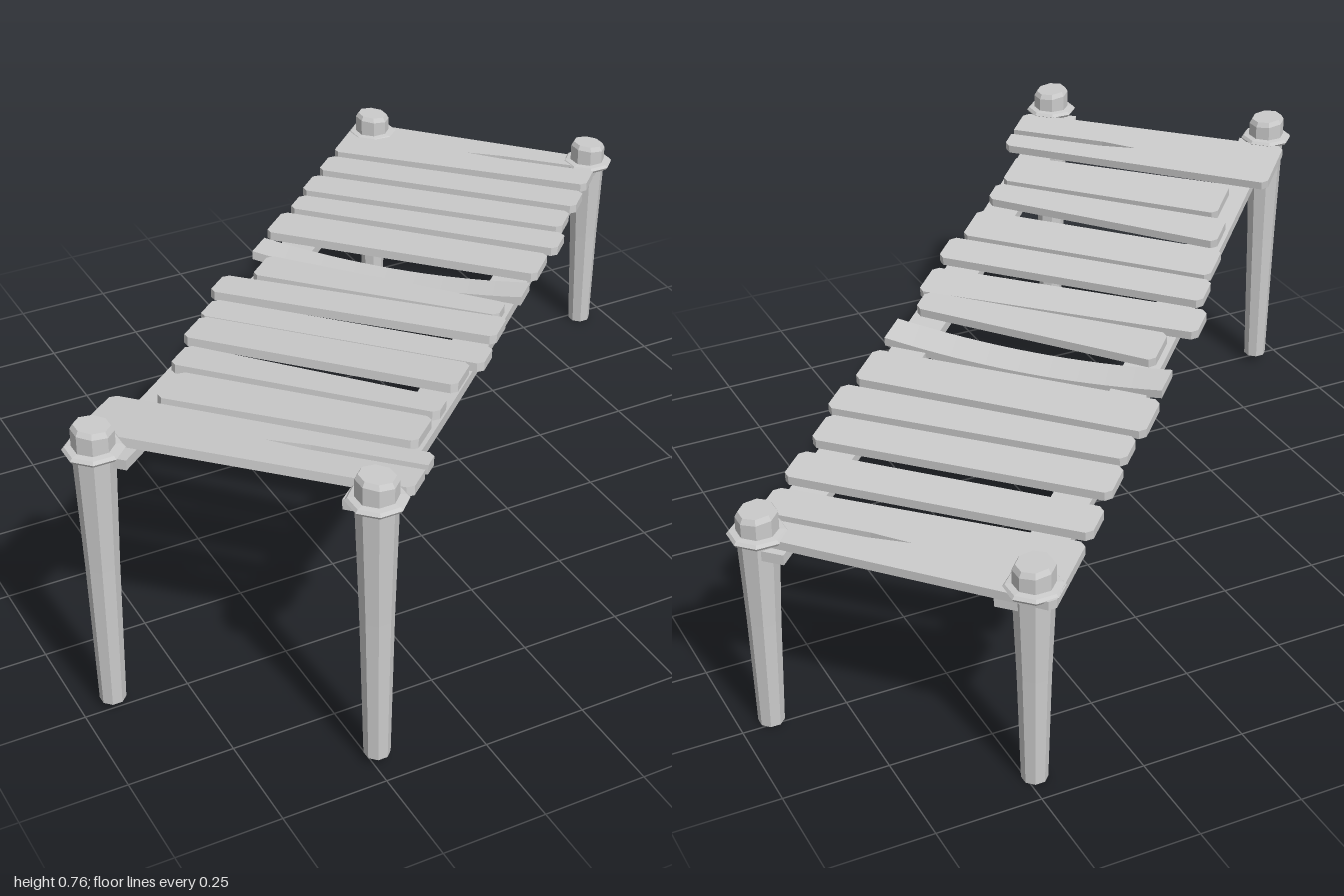
import * as THREE from 'three';

const flat = new THREE.MeshStandardMaterial({ color: 0xcccccc, flatShading: true });
const smooth = new THREE.MeshStandardMaterial({ color: 0xcccccc });

// Sagging underside of the rails; u runs along the bridge, v across it.
const railY = (u) => 0.53 - 0.098 * u + 0.028 * u * u;
const slope = (u) => -0.098 + 0.056 * u;
const RAIL = 0.025, PLANK = 0.022;

function add(parent, name, geometry, material = flat) {
  const mesh = new THREE.Mesh(geometry, material);
  mesh.name = name;
  parent.add(mesh);
  return mesh;
}

// Tapered eight-sided post with a collar and a slightly slanted, bevelled top.
function addPost(parent, name, u, v, base, collar) {
  const post = new THREE.Group();
  post.name = name;
  post.position.set(u, 0, v);
  parent.add(post);
  const lathe = (pts) => new THREE.LatheGeometry(pts.map(([r, y]) => new THREE.Vector2(r, y)), 8, Math.PI / 8);
  const top = collar + 0.055;
  const body = lathe([[0, base], [0.03, base], [0.038, base + (collar - base) * 0.55],
    [0.047, collar - 0.02], [0.047, top - 0.012], [0.04, top], [0, top]]);
  const p = body.attributes.position;
  for (let i = 0; i < p.count; i++) {
    if (p.getY(i) > collar) p.setY(i, p.getY(i) - (p.getX(i) + p.getZ(i)) * 0.08);
  }
  add(post, 'postBody', body);
  add(post, 'postCollar', lathe([[0.044, collar - 0.011], [0.063, collar - 0.011],
    [0.068, collar - 0.004], [0.062, collar + 0.003], [0.044, collar + 0.005]]));
}

// Curved rail: rectangular section bent along the sag.
function addRail(parent, name, v) {
  const geo = new THREE.BoxGeometry(2.03, RAIL, 0.09, 12, 1, 1);
  geo.translate(0.015, RAIL / 2, v);
  const p = geo.attributes.position;
  for (let i = 0; i < p.count; i++) p.setY(i, p.getY(i) + railY(p.getX(i)));
  geo.computeVertexNormals();
  add(parent, name, geo);
}

// Plank outline: a = near edge, b = far edge, at the -v and +v ends.
// The optional crack [u, start v, half width] opens at the +v end.
function addPlank(parent, name, [a0, b0, a1, b1, v0, v1], crack, lift = 0) {
  const mid = (a0 + b0 + a1 + b1) / 4, c = 0.014;
  const pts = [[a0 + c, v0], [b0 - c, v0], [b0, v0 + c], [b1, v1 - c], [b1 - c, v1]];
  if (crack) {
    const [cu, cv, w] = crack;
    pts.push([cu + w, v1], [cu + w, cv + 0.1], [cu, cv], [cu - w, cv + 0.1], [cu - w, v1]);
  }
  pts.push([a1 + c, v1], [a1, v1 - c], [a0, v0 + c]);
  const shape = new THREE.Shape(pts.map(([u, v]) => new THREE.Vector2(u - mid, -v)));
  const geo = new THREE.ExtrudeGeometry(shape, { depth: PLANK, bevelEnabled: false });
  geo.rotateX(-Math.PI / 2);
  const mesh = add(parent, name, geo);
  mesh.position.set(mid, railY(mid) + RAIL + lift, 0);
  mesh.rotation.z = Math.atan(slope(mid));
}

// One plank that bows down between the rails.
function addBowedPlank(parent, name, u, width, v0, v1) {
  const geo = new THREE.BoxGeometry(width, PLANK, v1 - v0, 1, 1, 16);
  const p = geo.attributes.position, half = (v1 - v0) / 2;
  for (let i = 0; i < p.count; i++) {
    const t = p.getZ(i) / half;
    p.setX(i, p.getX(i) - t * 0.015);
    p.setY(i, p.getY(i) - 0.025 * (1 - t * t));
  }
  geo.computeVertexNormals();
  const mesh = add(parent, name, geo, smooth);
  mesh.position.set(u, railY(u) + RAIL + PLANK / 2, (v0 + v1) / 2);
  mesh.rotation.z = Math.atan(slope(u));
}

export function createModel() {
  const model = new THREE.Group();
  model.name = 'plankBridge';
  const bridge = new THREE.Group();
  bridge.name = 'bridge';
  bridge.rotation.y = Math.PI / 4; // runs diagonally
  model.add(bridge);

  // Posts: tall pair at one end, short pair at the other
  for (const s of [-1, 1]) {
    const side = s < 0 ? 'Back' : 'Front';
    addPost(bridge, 'tallPost' + side, -0.997, s * 0.312, 0.02, 0.7);
    addPost(bridge, 'shortPost' + side, 0.993, s * 0.314, 0, 0.508);
    addRail(bridge, 'rail' + side, s * 0.283);
  }

  // Planks: uneven widths, lengths and skew
  addPlank(bridge, 'crackedPlankHigh', [-0.947, -0.757, -0.945, -0.77, -0.375, 0.372], [-0.842, 0.014, 0.011], 0.002);
  addPlank(bridge, 'crackedPlankLow', [0.82, 1.04, 0.827, 1.01, -0.375, 0.346], [0.933, -0.02, 0.009]);
  const planks = [
    [-0.73, -0.585, -0.73, -0.6, -0.283, 0.318],
    [-0.56, -0.45, -0.58, -0.5, -0.318, 0.324],
    [-0.415, -0.29, -0.436, -0.31, -0.344, 0.326],
    [-0.28, -0.18, -0.3, -0.2, -0.354, 0.352],
    [-0.144, -0.04, -0.15, -0.035, -0.38, 0.343],
    [-0.018, 0.105, -0.034, 0.045, -0.315, 0.32],
    [0.252, 0.387, 0.237, 0.368, -0.375, 0.35],
    [0.413, 0.505, 0.4, 0.503, -0.365, 0.364],
    [0.533, 0.641, 0.53, 0.637, -0.372, 0.346],
    [0.686, 0.788, 0.679, 0.783, -0.375, 0.35],
  ];
  planks.forEach((p, i) => addPlank(bridge, 'plank' + (i + 1), p, null, (i % 3) * 0.002));
  addBowedPlank(bridge, 'bowedPlank', 0.155, 0.09, -0.365, 0.346);

  return model;
}
